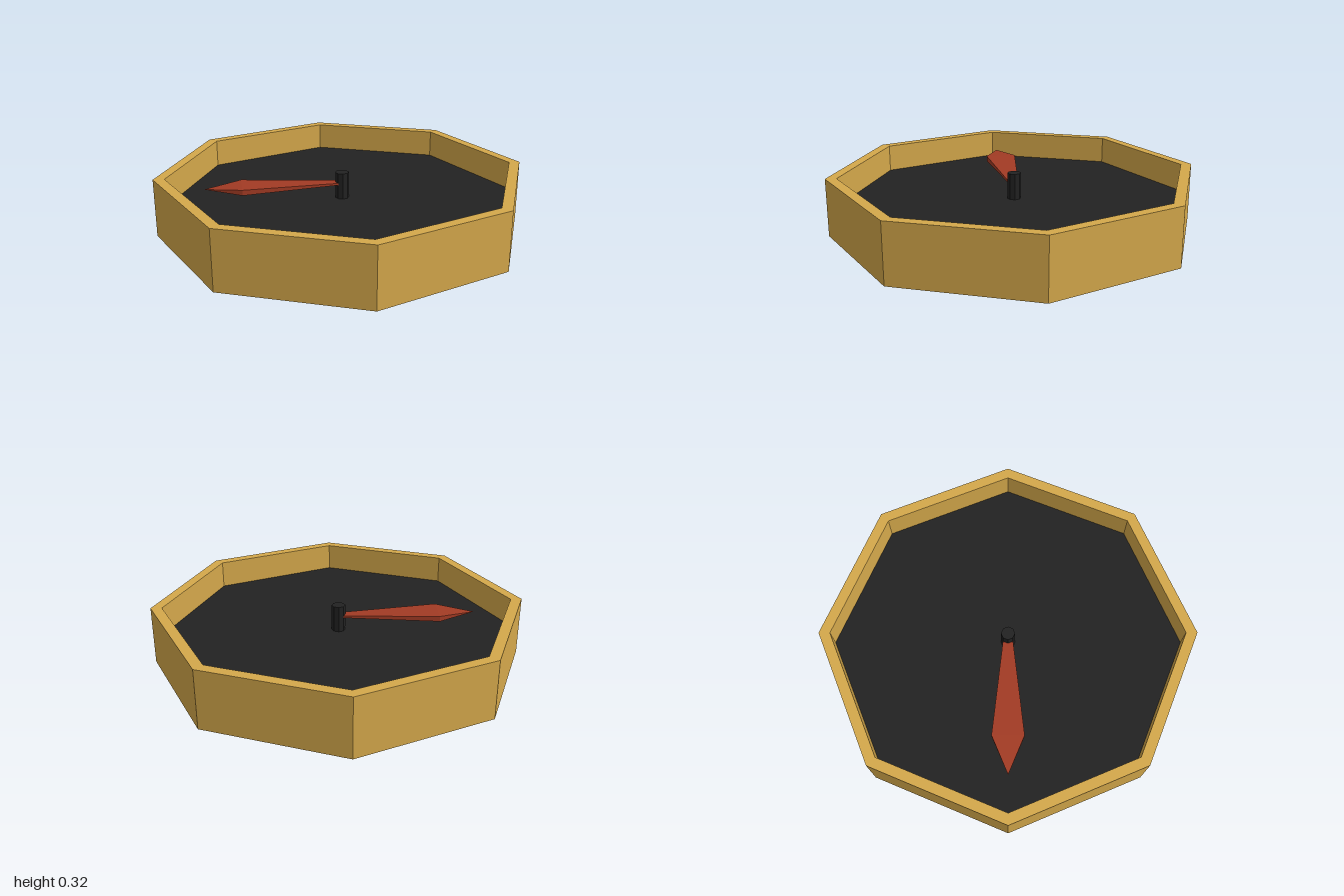
import * as THREE from 'three';
import { ConvexGeometry } from 'three/addons/geometries/ConvexGeometry.js';

const SIDES = 8, RIM = 0.94, HEIGHT = 0.318, FLOOR = 0.167, NEEDLE_Y = 0.25;

function material(name, color) {
  const m = new THREE.MeshStandardMaterial({ color });
  m.name = name;
  return m;
}

// Gives every face its own flat normal
function faceted(geometry) {
  const g = geometry.toNonIndexed();
  g.computeVertexNormals();
  return g;
}

export function createModel() {
  const model = new THREE.Group();
  model.name = 'compass';
  const brass = material('brass', 0xd4a84b);
  const black = material('black', 0x222222);
  const red = material('red', 0xa23b24);

  const add = (name, geometry, mat, y = 0) => {
    const mesh = new THREE.Mesh(geometry, mat);
    mesh.name = name;
    mesh.position.y = y;
    model.add(mesh);
    return mesh;
  };

  // Octagonal case: base, outer wall, rim and inner wall
  const profile = [[0, 0], [1, 0], [1, HEIGHT], [RIM, HEIGHT], [RIM, FLOOR]]
    .map(([r, y]) => new THREE.Vector2(r, y));
  add('case', faceted(new THREE.LatheGeometry(profile, SIDES)), brass);

  // Dial face sunk inside the rim
  const dial = new THREE.CircleGeometry(RIM, SIDES);
  dial.rotateX(-Math.PI / 2);
  add('dial', dial, black, FLOOR);

  // Centre pin
  const pinHeight = 0.31 - FLOOR;
  add('pin', faceted(new THREE.CylinderGeometry(0.037, 0.037, pinHeight, SIDES)),
    black, FLOOR + pinHeight / 2);

  // Needle: sections [x, half thickness, half width], closing to a point
  const points = [new THREE.Vector3(-0.74, 0, 0)];
  for (const [x, t, w] of [[0, 0.005, 0.024], [-0.54, 0.015, 0.085]]) {
    for (const sy of [-1, 1]) {
      for (const sz of [-1, 1]) points.push(new THREE.Vector3(x, sy * t, sz * w));
    }
  }
  add('needle', new ConvexGeometry(points), red, NEEDLE_Y);

  return model;
}
